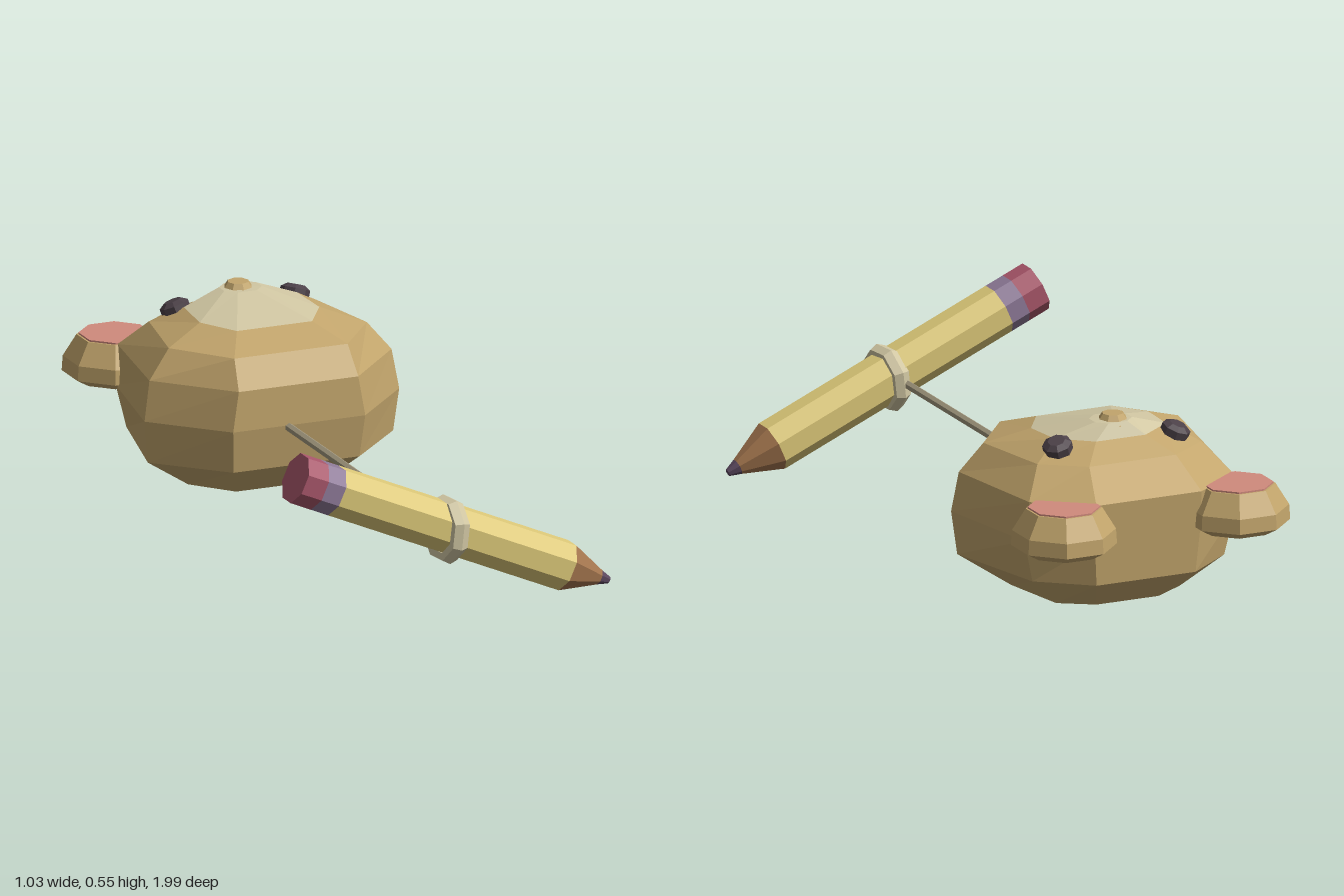
import * as THREE from 'three';

const mat = (color) => new THREE.MeshStandardMaterial({ color, flatShading: true, roughness: 0.9 });
const fur = mat(0xc2a56c), cream = mat(0xd0c6a2), pink = mat(0xd08a7c), dark = mat(0x4c4148);
const yellow = mat(0xdcc878), eraserRed = mat(0xa8566a), ferrule = mat(0x8e7a98);
const wood = mat(0xa5774f), lead = mat(0x5c4960), cordMat = mat(0xa0967c);

function part(name, geometry, material, x = 0, y = 0, z = 0) {
  const mesh = new THREE.Mesh(geometry, material);
  mesh.name = name;
  mesh.position.set(x, y, z);
  return mesh;
}

// Mirror half a ring of [x, y, z] points, running front to back, into a closed ring
const ring = (half) => [...half, ...half.slice().reverse().map(([x, y, z]) => [-x, y, z])];
const level = (y, half) => ring(half.map(([x, z]) => [x, y, z]));

// Skin a stack of rings from bottom to top, with optional fans at the ends
function skin(rings, bottom, top) {
  const n = rings[0].length, pos = rings.flat(2), idx = [];
  for (let r = 0; r < rings.length - 1; r++) {
    for (let i = 0; i < n; i++) {
      const a = r * n + i, b = r * n + (i + 1) % n;
      idx.push(a, b, b + n, a, b + n, a + n);
    }
  }
  const cap = (centre, r, up) => {
    const c = pos.length / 3;
    pos.push(...centre);
    for (let i = 0; i < n; i++) {
      const a = r * n + i, b = r * n + (i + 1) % n;
      idx.push(c, up ? a : b, up ? b : a);
    }
  };
  if (bottom) cap(bottom, 0, false);
  if (top) cap(top, rings.length - 1, true);
  const g = new THREE.BufferGeometry();
  g.setAttribute('position', new THREE.Float32BufferAttribute(pos, 3));
  g.setIndex(idx);
  g.computeVertexNormals();
  return g;
}

function createHead() {
  const head = new THREE.Group();
  head.name = 'bearHead';
  const muzzleEdge = ring([[0.12, 0.487, -0.37], [0.19, 0.49, -0.48], [0.18, 0.495, -0.62], [0.08, 0.492, -0.69]]);

  // Skull, from the flat base up to the muzzle patch
  head.add(part('skull', skin([
    level(0.01, [[0.14, -0.33], [0.24, -0.45], [0.2, -0.67], [0.1, -0.735]]),
    level(0.11, [[0.2, -0.21], [0.39, -0.4], [0.31, -0.74], [0.16, -0.86]]),
    level(0.24, [[0.21, -0.19], [0.405, -0.39], [0.34, -0.75], [0.17, -0.87]]),
    level(0.36, [[0.19, -0.195], [0.385, -0.4], [0.33, -0.76], [0.17, -0.88]]),
    level(0.445, [[0.18, -0.25], [0.315, -0.42], [0.265, -0.68], [0.14, -0.77]]),
    muzzleEdge,
  ], [0, 0.01, -0.53]), fur));

  // Muzzle patch rising to the nose
  const muzzleTop = level(0.535, [[0.03, -0.57], [0.06, -0.6], [0.06, -0.64], [0.03, -0.67]]);
  head.add(part('muzzle', skin([muzzleEdge, muzzleTop], null, [0, 0.537, -0.62]), cream));
  head.add(part('nose', new THREE.CylinderGeometry(0.032, 0.052, 0.03, 8), fur, -0.005, 0.537, -0.625));

  // Ears: flared cups with a pink inside
  const profile = [[0, 0.225], [0.11, 0.225], [0.155, 0.25], [0.152, 0.295], [0.112, 0.36], [0, 0.36]]
    .map(([r, y]) => new THREE.Vector2(r, y));
  for (const [side, x] of [['left', 0.263], ['right', -0.297]]) {
    const ear = part(side + 'Ear', new THREE.LatheGeometry(profile, 8, Math.PI / 8), fur, x, 0, -0.855);
    const inner = new THREE.CylinderGeometry(0.106, 0.106, 0.01, 8);
    inner.rotateY(Math.PI / 8);
    ear.add(part(side + 'InnerEar', inner, pink, 0, 0.36, 0));
    head.add(ear);
  }

  // Eyes: small bevelled studs leaning with the surface
  for (const [side, s] of [['left', 1], ['right', -1]]) {
    const points = [[0.044, -0.03], [0.044, 0.012], [0.026, 0.024], [0, 0.024]]
      .map(([r, y]) => new THREE.Vector2(r, y));
    const eye = part(side + 'Eye', new THREE.LatheGeometry(points, 8, Math.PI / 8), dark, s * 0.19, 0.482, -0.66);
    eye.rotation.set(-0.25, 0, -s * 0.3);
    head.add(eye);
  }
  return head;
}

// Octagonal pencil, drawn along local -y from its eraser end
function createPencil() {
  const pencil = new THREE.Group();
  pencil.name = 'pencil';
  const R = 0.0765;
  const sections = [
    ['eraser', 0, 0.07, R, R, eraserRed],
    ['ferrule', 0.07, 0.13, R, R, ferrule],
    ['shaft', 0.13, 0.931, R, R, yellow],
    ['sharpenedWood', 0.931, 1.052, R, 0.024, wood],
    ['leadTip', 1.052, 1.087, 0.024, 0.011, lead],
  ];
  for (const [name, from, to, r0, r1, material] of sections) {
    const g = new THREE.CylinderGeometry(r0, r1, to - from, 8);
    g.rotateY(Math.PI / 8);
    pencil.add(part(name, g, material, 0, -(from + to) / 2, 0));
  }
  pencil.position.set(-0.485, 0.452, 0.896);
  pencil.rotation.z = Math.PI / 2 - 0.414;
  return pencil;
}

export function createModel() {
  const model = new THREE.Group();
  model.name = 'bearHeadWithPencil';
  model.add(createHead(), createPencil());

  // Cord from the head to the loop tied around the pencil
  const cordGeometry = new THREE.CylinderGeometry(0.013, 0.013, 1.07, 6);
  cordGeometry.rotateX(Math.PI / 2);
  model.add(part('cord', cordGeometry, cordMat, -0.032, 0.234, 0.285));

  const loopGeometry = new THREE.TorusGeometry(0.081, 0.022, 6, 8);
  loopGeometry.rotateZ(Math.PI / 8);
  loopGeometry.rotateY(Math.PI / 2);
  loopGeometry.scale(1.3, 1, 1);
  const loop = part('cordLoop', loopGeometry, cream, -0.006, 0.236, 0.899);
  loop.rotation.set(0, 0.13, -0.12);
  model.add(loop);
  return model;
}
